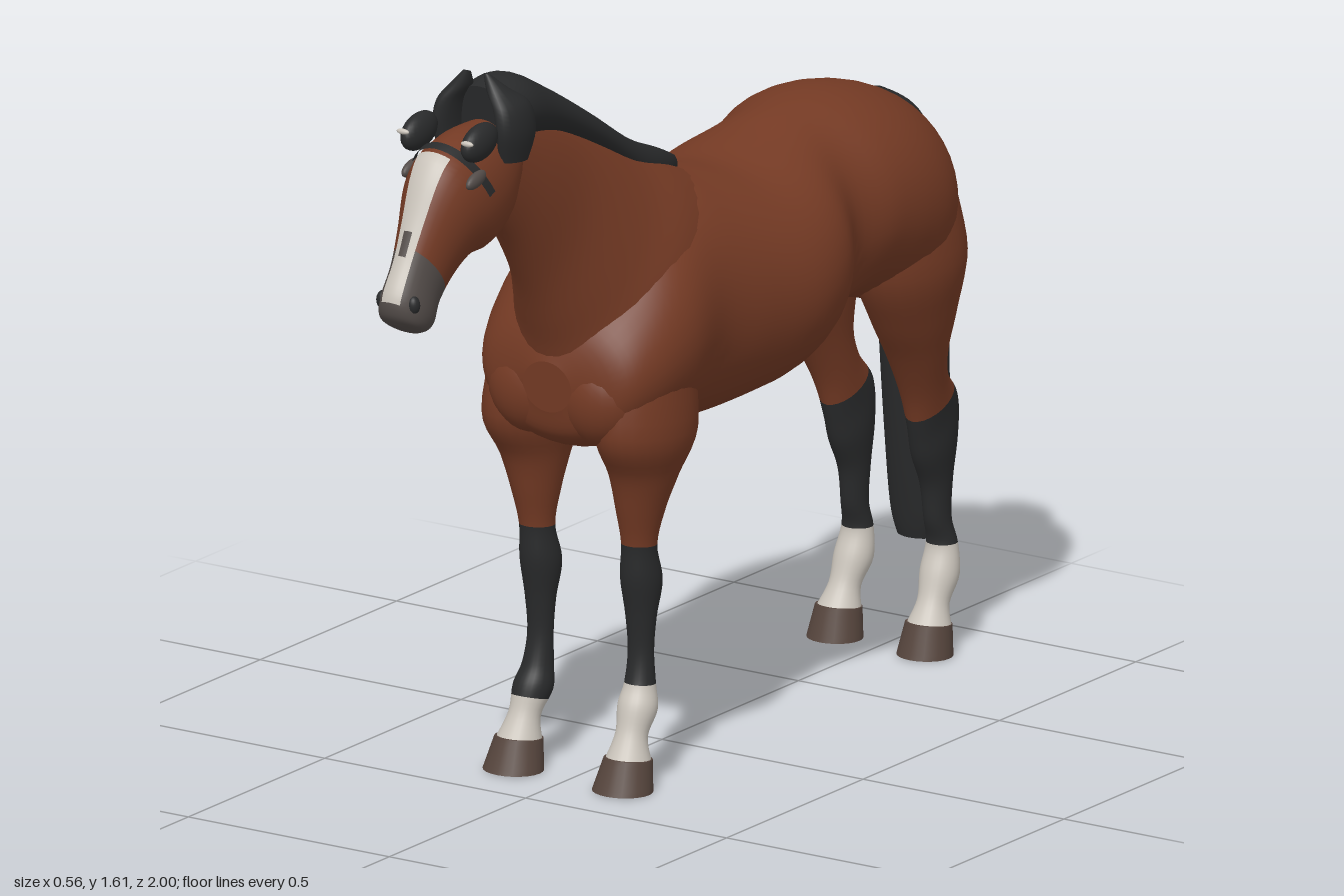
import * as THREE from 'three';

const mat = (name, color, side = THREE.FrontSide) => {
  const m = new THREE.MeshStandardMaterial({ color, side });
  m.name = name;
  return m;
};

export function createModel() {
  const coat = mat('bay coat', 0x743a24);
  const black = mat('black hair', 0x292a2b, THREE.DoubleSide);
  const white = mat('white marking', 0xc9c3ba, THREE.DoubleSide);
  const grey = mat('grey muzzle', 0x524b48, THREE.DoubleSide);
  const horn = mat('hoof horn', 0x56453d);

  const horse = new THREE.Group();
  horse.name = 'horse';

  // Smooth loft. A ring is [z1, y1, z2, y2, halfWidth, xCentre]: an ellipse across two opposite points.
  // paint lists [material, spans]; from/to and arc cut out a strip, grow lifts it off the surface.
  function loft(name, rings, paint, o = {}) {
    const { from = 0, to = rings.length - 1, arc = Math.PI, grow = 1, steps = 5, sides = 28, parent = horse } = o;
    const closed = arc === Math.PI;
    const at = (i, k) => rings[Math.max(0, Math.min(rings.length - 1, i))][k] ?? 0;
    const sample = (t) => {
      const i = Math.min(Math.floor(t), rings.length - 2), f = t - i;
      return [0, 1, 2, 3, 4, 5].map((k) => {
        const a = at(i - 1, k), b = at(i, k), c = at(i + 1, k), d = at(i + 2, k);
        return b + 0.5 * f * (c - a + f * (2 * a - 5 * b + 4 * c - d + f * (3 * (b - c) + d - a)));
      });
    };
    const rows = Math.max(2, Math.round((to - from) * steps));
    const cols = closed ? sides : sides + 1;
    const pos = [], index = [], geo = new THREE.BufferGeometry();
    const addRing = (r) => {
      const [z1, y1, z2, y2, w, x] = r;
      for (let j = 0; j < cols; j++) {
        const a = -arc + (2 * arc * j) / sides, c = Math.cos(a) * grow * 0.5;
        pos.push(x + Math.sin(a) * w * grow, (y1 + y2) / 2 + c * (y1 - y2), (z1 + z2) / 2 + c * (z1 - z2));
      }
    };
    const samples = [];
    for (let i = 0; i <= rows; i++) {
      samples.push(sample(from + ((to - from) * i) / rows));
      addRing(samples[i]);
    }
    const [p, q] = [samples[0], samples[1]];
    const outward = (p[0] - p[2]) * (q[1] + q[3] - p[1] - p[3]) - (p[1] - p[3]) * (q[0] + q[2] - p[0] - p[2]) > 0;
    const tri = (a, b, c) => (outward ? index.push(a, b, c) : index.push(a, c, b));
    const cap = (r, end) => {
      const base = pos.length / 3;
      addRing(r);
      pos.push(r[5], (r[1] + r[3]) / 2, (r[0] + r[2]) / 2);
      for (let j = 0; j < cols; j++) {
        const a = base + j, b = base + ((j + 1) % cols);
        end ? tri(a, b, base + cols) : tri(b, a, base + cols);
      }
    };
    if (closed) cap(samples[0], false);
    let start = 0, row = 0, limit = 0;
    paint.forEach(([, spans], m) => {
      limit += spans * steps;
      const last = m === paint.length - 1;
      for (; row < rows && (last || row < limit); row++) {
        for (let j = 0; j < sides; j++) {
          const a = row * cols + j, b = row * cols + ((j + 1) % cols);
          tri(a, b, a + cols);
          tri(b, b + cols, a + cols);
        }
      }
      if (last && closed) cap(samples[rows], true);
      geo.addGroup(start, index.length - start, m);
      start = index.length;
    });
    geo.setAttribute('position', new THREE.Float32BufferAttribute(pos, 3));
    geo.setIndex(index);
    geo.computeVertexNormals();
    const mesh = new THREE.Mesh(geo, paint.length > 1 ? paint.map((e) => e[0]) : paint[0][0]);
    mesh.name = name;
    parent.add(mesh);
  }

  function blob(name, material, [x, y, z], [rx, ry, rz], tilt = 0) {
    const mesh = new THREE.Mesh(new THREE.SphereGeometry(1, 24, 16), material);
    mesh.name = name;
    mesh.position.set(x, y, z);
    mesh.scale.set(rx, ry, rz);
    mesh.rotation.x = tilt;
    horse.add(mesh);
  }

  // Barrel, chest and rump
  loft('torso', [
    [0.425, 0.92, 0.418, 0.81, 0.06], [0.395, 1.0, 0.4, 0.755, 0.165], [0.33, 1.08, 0.34, 0.72, 0.215],
    [0.22, 1.18, 0.22, 0.705, 0.238], [0.08, 1.24, 0.09, 0.7, 0.225], [-0.05, 1.225, -0.05, 0.7, 0.25],
    [-0.18, 1.205, -0.2, 0.713, 0.28], [-0.3, 1.225, -0.31, 0.742, 0.265], [-0.41, 1.253, -0.41, 0.782, 0.212],
    [-0.52, 1.268, -0.52, 0.82, 0.238], [-0.62, 1.262, -0.62, 0.8, 0.25], [-0.72, 1.235, -0.7, 0.78, 0.24],
    [-0.8, 1.19, -0.78, 0.8, 0.2], [-0.85, 1.12, -0.83, 0.85, 0.13], [-0.867, 1.04, -0.86, 0.95, 0.04],
  ], [[coat, 14]], { sides: 40 });

  loft('neck', [
    [0.61, 1.53, 0.63, 1.28, 0.06], [0.48, 1.48, 0.56, 1.2, 0.075], [0.32, 1.4, 0.49, 1.09, 0.095],
    [0.16, 1.31, 0.435, 0.97, 0.14], [0.04, 1.26, 0.385, 0.86, 0.185], [-0.1, 1.2, 0.25, 0.8, 0.19],
  ], [[coat, 5]], { sides: 36 });

  // Head, with the markings cut from the same surface
  const headRings = [
    [0.62, 1.5, 0.57, 1.37, 0.06], [0.74, 1.5, 0.62, 1.28, 0.088], [0.83, 1.475, 0.69, 1.238, 0.092],
    [0.875, 1.43, 0.76, 1.232, 0.082], [0.92, 1.34, 0.81, 1.2, 0.062], [0.955, 1.27, 0.855, 1.152, 0.052],
    [0.993, 1.205, 0.88, 1.112, 0.055], [0.996, 1.165, 0.92, 1.108, 0.045], [0.98, 1.14, 0.95, 1.12, 0.015],
  ];
  loft('head', headRings, [[coat, 4.6], [grey, 4]]);
  loft('blaze', headRings, [[white, 9]], { from: 2.1, to: 6.3, arc: 0.42, grow: 1.04, sides: 8 });
  loft('blazeSpot', headRings, [[grey, 9]], { from: 4.2, to: 4.9, arc: 0.16, grow: 1.07, sides: 4 });
  loft('browband', headRings, [[black, 9]], { from: 1.72, to: 1.98, arc: 1.4, grow: 1.05, sides: 20 });

  // Mane and tail
  loft('mane', [
    [0.67, 1.575, 0.65, 1.45, 0.07], [0.58, 1.585, 0.57, 1.44, 0.08], [0.465, 1.53, 0.43, 1.41, 0.066],
    [0.305, 1.435, 0.27, 1.33, 0.06], [0.145, 1.335, 0.12, 1.23, 0.05], [0.02, 1.28, 0.02, 1.2, 0.033],
    [-0.04, 1.25, -0.04, 1.2, 0.012],
  ], [[black, 6]]);
  loft('tail', [
    [-0.8, 1.205, -0.8, 1.15, 0.035], [-0.88, 1.155, -0.82, 1.08, 0.07], [-0.935, 1.05, -0.845, 1.0, 0.078],
    [-0.97, 0.9, -0.85, 0.88, 0.078], [-0.99, 0.7, -0.85, 0.7, 0.075], [-0.999, 0.45, -0.87, 0.45, 0.071],
    [-0.998, 0.27, -0.893, 0.27, 0.066], [-0.985, 0.208, -0.905, 0.206, 0.05],
  ], [[black, 7]]);
  blob('sheath', grey, [0, 0.81, -0.51], [0.035, 0.04, 0.06], 0.3);

  for (const s of [1, -1]) {
    const side = s > 0 ? 'left' : 'right';
    const at = (rings) => rings.map((r) => [...r.slice(0, 5), r[5] * s]);

    // Face details
    loft(side + 'Ear', at([
      [0.7, 1.43, 0.61, 1.42, 0.02, 0.075], [0.715, 1.49, 0.59, 1.48, 0.026, 0.08],
      [0.71, 1.54, 0.6, 1.54, 0.028, 0.07], [0.695, 1.575, 0.64, 1.575, 0.022, 0.045],
      [0.685, 1.61, 0.67, 1.605, 0.008, 0.025],
    ]), [[black, 4]], { sides: 16 });
    blob(side + 'ForelockTuft', black, [0.075 * s, 1.495, 0.78], [0.026, 0.038, 0.058], 0.2);
    blob(side + 'BrowTrim', white, [0.08 * s, 1.505, 0.832], [0.015, 0.006, 0.006]);
    blob(side + 'Eye', grey, [0.08 * s, 1.42, 0.8], [0.012, 0.016, 0.034], 0.25);
    blob(side + 'Nostril', black, [0.038 * s, 1.185, 0.967], [0.014, 0.02, 0.014]);
    blob(side + 'ChestMuscle', coat, [0.085 * s, 0.84, 0.355], [0.095, 0.1, 0.07]);

    // Foreleg: the right sock is shorter
    const sockTop = s > 0 ? [2, 3] : [3.4, 1.6];
    loft(side + 'Foreleg', at([
      [0.37, 0.95, 0.12, 0.9, 0.08, 0.13], [0.4, 0.77, 0.13, 0.75, 0.092, 0.14], [0.35, 0.67, 0.18, 0.66, 0.068, 0.135],
      [0.327, 0.59, 0.212, 0.59, 0.05, 0.13], [0.31, 0.515, 0.232, 0.51, 0.037, 0.127],
      [0.307, 0.44, 0.213, 0.43, 0.043, 0.125], [0.293, 0.36, 0.23, 0.35, 0.033, 0.125],
      [0.287, 0.28, 0.236, 0.28, 0.028, 0.125], [0.3, 0.215, 0.235, 0.21, 0.033, 0.127],
      [0.322, 0.175, 0.24, 0.155, 0.042, 0.13], [0.34, 0.12, 0.275, 0.105, 0.034, 0.133],
      [0.372, 0.068, 0.275, 0.056, 0.048, 0.136],
    ]), [[coat, 4], [black, 2 + sockTop[0]], [white, sockTop[1]]], { sides: 24 });
    loft(side + 'ForeHoof', at([[0.376, 0.072, 0.272, 0.06, 0.05, 0.136], [0.405, 0.002, 0.285, 0, 0.065, 0.136]]),
      [[horn, 1]], { sides: 24 });

    // Hind leg
    loft(side + 'HindLeg', at([
      [-0.56, 1.02, -0.84, 1.02, 0.085, 0.13], [-0.575, 0.86, -0.862, 0.89, 0.105, 0.13],
      [-0.635, 0.745, -0.842, 0.77, 0.085, 0.125], [-0.695, 0.655, -0.828, 0.675, 0.064, 0.118],
      [-0.745, 0.56, -0.85, 0.61, 0.05, 0.11], [-0.768, 0.48, -0.905, 0.545, 0.044, 0.105],
      [-0.785, 0.42, -0.907, 0.46, 0.042, 0.103], [-0.815, 0.355, -0.895, 0.365, 0.032, 0.102],
      [-0.826, 0.28, -0.89, 0.28, 0.028, 0.103], [-0.84, 0.225, -0.902, 0.225, 0.034, 0.105],
      [-0.82, 0.17, -0.9, 0.155, 0.042, 0.107], [-0.8, 0.115, -0.865, 0.1, 0.034, 0.11],
      [-0.768, 0.068, -0.86, 0.056, 0.047, 0.112],
    ]), [[coat, 4.6], [black, 4.4], [white, 3]], { sides: 24 });
    loft(side + 'HindHoof', at([[-0.764, 0.072, -0.862, 0.06, 0.049, 0.112], [-0.742, 0.002, -0.855, 0, 0.06, 0.112]]),
      [[horn, 1]], { sides: 24 });
  }
  return horse;
}
